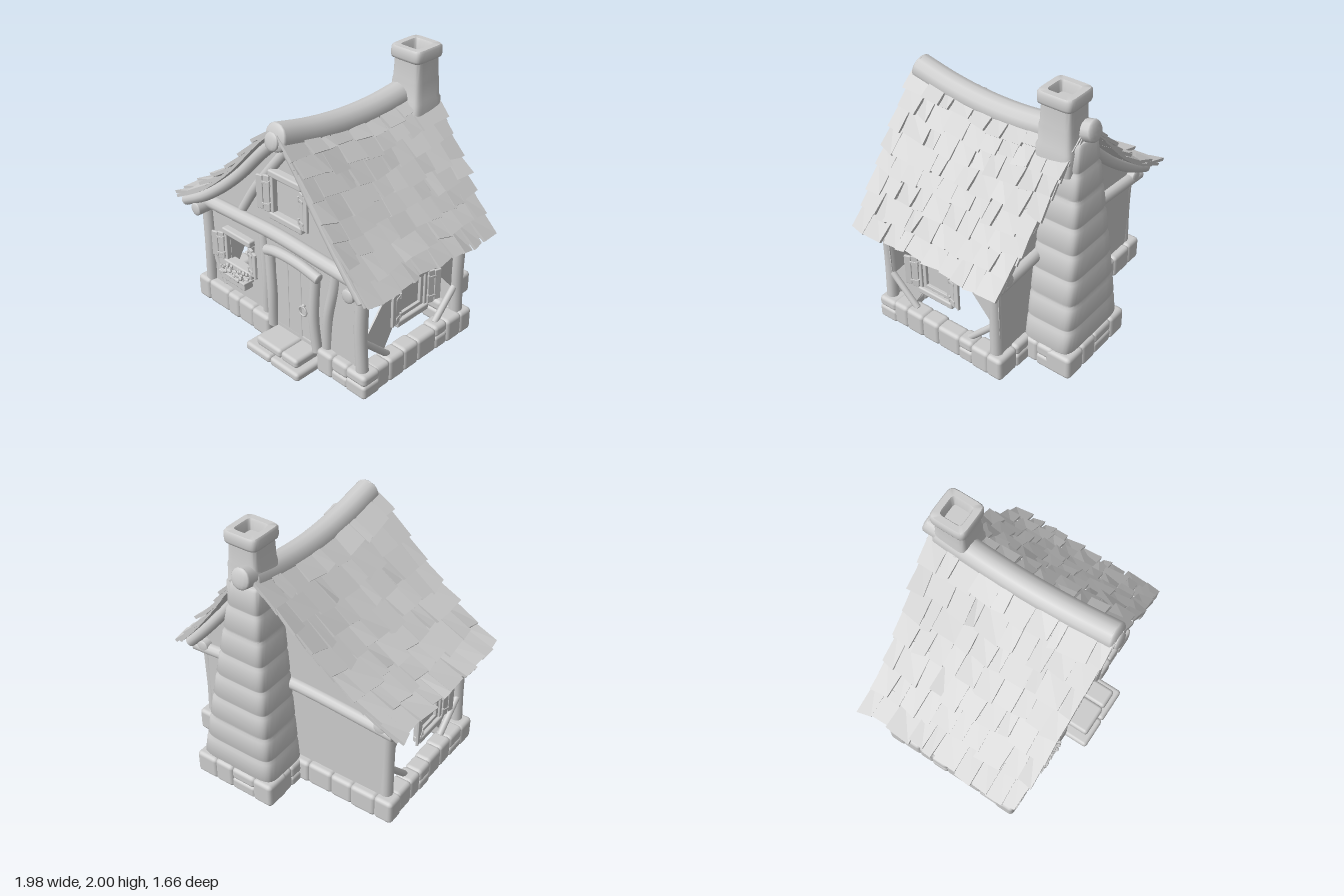
import * as THREE from 'three';
import { toCreasedNormals } from 'three/addons/utils/BufferGeometryUtils.js';
import { RoundedBoxGeometry } from 'three/addons/geometries/RoundedBoxGeometry.js';

const V2 = (p) => new THREE.Vector2(...p);
const V3 = (p) => new THREE.Vector3(...p);

export function createModel() {
  const root = new THREE.Group();
  root.name = 'cottage';
  const grey = new THREE.MeshStandardMaterial({ color: 0xcccccc });
  grey.name = 'plain grey';
  let seed = 7;
  const rnd = (a = 0, b = 1) => {
    seed = (seed * 16807) % 2147483647;
    return a + (b - a) * seed / 2147483647;
  };
  const add = (name, geo, parent = root, pos = [0, 0, 0]) => {
    const m = new THREE.Mesh(geo, grey);
    m.name = name;
    m.position.set(...pos);
    parent.add(m);
    return m;
  };
  const group = (name, parent = root) => {
    const g = new THREE.Group();
    g.name = name;
    parent.add(g);
    return g;
  };
  // block given by its minimum and maximum corners
  const block = (name, a, b, r = 0.01, parent = root) => {
    const s = a.map((v, i) => b[i] - v);
    return add(name, new RoundedBoxGeometry(...s, 2, Math.min(r, ...s.map((v) => v * 0.45))),
      parent, a.map((v, i) => (v + b[i]) / 2));
  };
  // round timber along a bent path with softly domed ends
  const log = (name, pts, r, parent = root) => {
    const g = group(name, parent);
    const c = new THREE.CatmullRomCurve3(pts.map(V3));
    add(name + 'Trunk', new THREE.TubeGeometry(c, 16, r, 12), g);
    for (const t of [0, 1]) {
      const p = c.getPoint(t);
      const end = add(name + 'End', new THREE.SphereGeometry(r, 12, 8), g, p.toArray());
      end.lookAt(p.clone().add(c.getTangent(t)));
      end.scale.z = 0.3;
    }
    return g;
  };
  // closed skin over rounded-square rings [y, halfX, halfZ, centreX, centreZ]
  const loft = (rings, n = 28) => {
    const pos = [], idx = [];
    const power = (v) => Math.sign(v) * Math.abs(v) ** 0.3;
    for (const [y, hx, hz, cx, cz] of rings)
      for (let i = 0; i < n; i++) {
        const a = (i + 0.5) / n * Math.PI * 2;
        pos.push(cx + hx * power(Math.cos(a)), y, cz - hz * power(Math.sin(a)));
      }
    for (let j = 0; j < rings.length - 1; j++)
      for (let i = 0; i < n; i++) {
        const a = j * n + i, b = j * n + (i + 1) % n;
        idx.push(a, b, b + n, a, b + n, a + n);
      }
    const last = (rings.length - 1) * n;
    for (let i = 1; i < n - 1; i++) idx.push(0, i + 1, i, last, last + i, last + i + 1);
    const g = new THREE.BufferGeometry();
    g.setAttribute('position', new THREE.Float32BufferAttribute(pos, 3));
    g.setIndex(idx);
    return toCreasedNormals(g, 0.9);
  };
  const plate = (pts, depth, holes = []) => {
    const s = new THREE.Shape(pts.map(V2));
    s.holes = holes.map((h) => new THREE.Path(h.map(V2)));
    return new THREE.ExtrudeGeometry(s, { depth, bevelEnabled: false });
  };

  // stone footing: rows of uneven rounded blocks
  const footing = group('footing');
  const stoneRow = (axis, from, to, count, lo, hi) => {
    const cuts = Array.from({ length: count + 1 }, (_, i) =>
      from + (to - from) * (i + (i % count ? rnd(-0.2, 0.2) : 0)) / count);
    for (let i = 0; i < count; i++) {
      const a = [0, 0, 0], b = [0, 0.192 - rnd(0, 0.012), 0];
      a[axis] = cuts[i] - (i ? 0.006 : 0);
      b[axis] = cuts[i + 1] + (i < count - 1 ? 0.006 : 0);
      a[2 - axis] = lo + rnd(0, 0.012); b[2 - axis] = hi - rnd(0, 0.012);
      const split = rnd() < 0.35 ? rnd(0.07, 0.11) : 0;
      if (split) {
        block('stone', a, [b[0], split, b[2]], 0.025, footing);
        a[1] = split - 0.006;
      }
      block('stone', a, b, 0.03, footing);
    }
  };
  stoneRow(0, -0.87, -0.08, 5, 0.48, 0.65);
  stoneRow(0, -0.08, 0.4, 2, 0.48, 0.6);
  stoneRow(0, 0.4, 0.85, 3, 0.48, 0.65);
  stoneRow(0, -0.87, 0.85, 10, -0.48, -0.33);
  stoneRow(2, -0.36, 0.52, 6, -0.87, -0.72);
  stoneRow(2, -0.36, 0.52, 6, 0.7, 0.85);
  stoneRow(0, -0.11, 0.56, 4, -0.83, -0.62);
  stoneRow(2, -0.68, -0.42, 2, -0.11, 0.2);
  stoneRow(2, -0.68, -0.42, 2, 0.2, 0.56);
  const underside = (w, d, x, z) =>
    add('underside', new THREE.PlaneGeometry(w, d).rotateX(Math.PI / 2), footing, [x, 0.004, z]);
  underside(1.68, 1.08, -0.01, 0.085);
  underside(0.63, 0.37, 0.225, -0.63);
  underside(0.48, 0.19, 0.145, 0.72);
  for (const [x0, x1] of [[-0.12, 0.13], [0.13, 0.41]])
    block('lowerStep', [x0, 0, 0.55], [x1, 0.065, 0.83], 0.025);
  for (const [x0, x1] of [[-0.05, 0.2], [0.2, 0.36]])
    block('upperStep', [x0, 0.06, 0.55], [x1, 0.13, 0.79], 0.025);

  // gable walls
  const gable = [[-0.76, 0.17], [0.78, 0.17], [0.8, 0.9], [0.56, 1.2], [0.41, 1.4], [0.22, 1.63],
    [0.11, 1.63], [-0.09, 1.46], [-0.27, 1.27], [-0.48, 1.08], [-0.76, 0.9]];
  add('frontWall', plate(gable, 0.03, [[[-0.53, 0.45], [-0.53, 0.67], [-0.29, 0.67], [-0.29, 0.45]]]), root, [0, 0, 0.55]);
  add('backWall', plate(gable, 0.03), root, [0, 0, -0.42]);

  // timber frame
  const frame = group('timberFrame');
  for (const s of [-1, 1]) {
    log('frontPost', [[s * 0.77, 0.17, 0.58], [s * 0.755, 0.5, 0.585], [s * 0.765, 0.86, 0.58]], 0.045, frame);
    log('backPost', [[s * 0.77, 0.17, -0.38], [s * 0.765, 0.5, -0.375], [s * 0.77, 0.84, -0.38]], 0.047, frame);
    log('eaveBeam', [[s * 0.75, 0.82, 0.7], [s * 0.75, 0.82, 0.1], [s * 0.75, 0.82, -0.47]], 0.05, frame);
    log('frontBrace', [[s * 0.77, 0.4, 0.57], [s * 0.77, 0.18, 0.34]], 0.024, frame);
    log('backBrace', [[s * 0.77, 0.39, -0.35], [s * 0.77, 0.18, -0.15]], 0.024, frame);
    // partial infill panels beside the side windows
    const infill = [[[-0.54, 0.4], [-0.36, 0.22], [-0.27, 0.37], [-0.27, 0.72], [-0.22, 0.8]],
      [[0.04, 0.72], [0.34, 0.38], [0.34, 0.82], [0.04, 0.82]]];
    for (const p of infill) add('sideInfill', plate(p, 0.012).rotateY(Math.PI / 2), frame, [s * 0.745, 0, 0]);
  }
  log('frontCrossBeam', [[-0.72, 0.86, 0.6], [-0.35, 0.885, 0.61], [0, 0.9, 0.61], [0.4, 0.885, 0.61], [0.8, 0.86, 0.6]], 0.05, frame);
  log('backCrossBeam', [[-0.84, 0.79, -0.44], [0, 0.83, -0.43], [0.84, 0.79, -0.44]], 0.045, frame);
  log('leftStud', [[-0.16, 0.18, 0.57], [-0.145, 0.45, 0.58], [-0.18, 0.88, 0.57]], 0.037, frame);
  log('rightStud', [[0.44, 0.18, 0.57], [0.46, 0.45, 0.58], [0.51, 0.7, 0.575], [0.53, 0.88, 0.57]], 0.04, frame);
  log('cornerBrace', [[-0.62, 0.19, 0.565], [-0.7, 0.36, 0.57], [-0.75, 0.6, 0.57]], 0.025, frame);
  log('cornerBrace', [[0.71, 0.19, 0.565], [0.74, 0.36, 0.57], [0.77, 0.6, 0.57]], 0.025, frame);
  log('gableBrace', [[-0.38, 0.92, 0.57], [-0.22, 1.16, 0.575], [-0.03, 1.4, 0.575], [0.12, 1.58, 0.57]], 0.037, frame);
  log('gableBrace', [[0.6, 0.92, 0.57], [0.52, 1.14, 0.575], [0.36, 1.4, 0.575], [0.21, 1.58, 0.57]], 0.037, frame);

  // door with frame and ring handle
  const door = group('door');
  for (let i = 0; i < 3; i++)
    block('doorPlank', [-0.04 + i * 0.125, 0.12, 0.57], [0.085 + i * 0.125, 0.75, 0.592], 0.005, door);
  log('doorPostLeft', [[-0.07, 0.13, 0.6], [-0.06, 0.4, 0.61], [-0.085, 0.74, 0.6]], 0.037, door);
  log('doorPostRight', [[0.37, 0.13, 0.6], [0.35, 0.4, 0.61], [0.36, 0.74, 0.6]], 0.037, door);
  log('doorLintel', [[-0.1, 0.735, 0.61], [0, 0.77, 0.62], [0.22, 0.775, 0.62], [0.4, 0.735, 0.61]], 0.038, door);
  add('doorRing', new THREE.TorusGeometry(0.035, 0.007, 8, 20), door, [0.24, 0.395, 0.608]);
  add('ringMount', new THREE.SphereGeometry(0.014, 10, 8), door, [0.24, 0.435, 0.6]);

  // shuttered window, built around its own centre and facing +z
  const makeWindow = (name, w, h, pos, turn = 0, glazed = false) => {
    const g = group(name);
    g.position.set(...pos);
    g.rotation.y = turn;
    const x = w / 2, y = h / 2;
    block('windowLintel', [-x - 0.025, y, -0.02], [x + 0.035, y + 0.05, 0.05], 0.012, g);
    block('windowSill', [-x - 0.03, -y - 0.05, -0.02], [x + 0.03, -y, 0.045], 0.012, g);
    for (const s of [-1, 1]) {
      const jamb = s * (x + 0.012);
      block('windowJamb', [jamb - 0.018, -y, -0.015], [jamb + 0.018, y, 0.035], 0.006, g);
      const sh = group('shutter', g);
      sh.position.set(s * (x + 0.018), 0, 0.035);
      sh.rotation.y = -s * 0.3;
      for (const k of [0, 1]) {
        const c = s * (0.026 + k * 0.052);
        block('shutterPlank', [c - 0.025, -y + k * 0.012, -0.01], [c + 0.025, y - k * 0.008, 0.01], 0.005, sh);
      }
      for (const k of [-1, 1]) {
        block('hinge', [Math.min(0, s * 0.06), k * y * 0.6 - 0.009, 0.008], [Math.max(0, s * 0.06), k * y * 0.6 + 0.009, 0.016], 0.002, sh);
        add('hingePin', new THREE.CylinderGeometry(0.009, 0.009, 0.04, 8), sh, [0, k * y * 0.6, 0.012]);
      }
      if (glazed) {
        block('sashSide', [s * x * 0.85 - 0.015, -y, -0.01], [s * x * 0.85 + 0.015, y, 0.02], 0.004, g);
        block('sashRail', [-x, s * y * 0.88 - 0.015, -0.01], [x, s * y * 0.88 + 0.015, 0.02], 0.004, g);
      }
    }
    if (glazed) block('windowPane', [-x, -y, -0.008], [x, y, -0.002], 0.001, g);
  };
  makeWindow('frontWindow', 0.24, 0.22, [-0.42, 0.56, 0.58]);
  makeWindow('gableWindow', 0.25, 0.27, [0.11, 1.2, 0.585]);
  for (const s of [-1, 1])
    makeWindow('sideWindow', 0.25, 0.26, [s * 0.765, 0.56, 0.13], s * Math.PI / 2, true);

  // flower box
  const flowers = group('flowerBox');
  block('planter', [-0.54, 0.33, 0.6], [-0.28, 0.39, 0.68], 0.008, flowers);
  block('planterRim', [-0.55, 0.38, 0.595], [-0.27, 0.4, 0.69], 0.005, flowers);
  for (const x of [-0.52, -0.34]) block('planterBracket', [x, 0.305, 0.58], [x + 0.03, 0.335, 0.66], 0.005, flowers);
  for (let i = 0; i < 60; i++)
    add('blossom', new THREE.IcosahedronGeometry(rnd(0.01, 0.018), 0), flowers, [rnd(-0.53, -0.29), rnd(0.4, 0.445), rnd(0.61, 0.69)]);

  // roof surface: flared slopes under a sagging ridge
  const sag = (z) => -0.1 * Math.max(0, 1 - (z / 0.72) ** 2);
  const slopes = {
    '-1': [[0.12, 1.75], [-0.04, 1.6], [-0.25, 1.375], [-0.45, 1.19], [-0.68, 1.015], [-0.94, 0.87]],
    '1': [[0.2, 1.75], [0.34, 1.59], [0.485, 1.385], [0.62, 1.205], [0.77, 1.015], [0.925, 0.835]],
  };
  for (const s of [-1, 1]) {
    const curve = new THREE.SplineCurve(slopes[s].map(V2));
    const at = (t, z, off) => {
      const p = curve.getPointAt(Math.min(t, 1)), d = curve.getTangentAt(Math.min(t, 1));
      const extra = Math.max(0, t - 1) * 1.2;
      return [p.x + d.x * extra - d.y * s * off, p.y + d.y * extra + d.x * s * off + sag(z) * Math.max(0, 1 - t), z];
    };
    const zAt = (t, v) => {
      const back = -0.64 + (s > 0 ? 0.13 : 0.1) * t, front = 0.75 - 0.03 * t;
      return back + (front - back) * v;
    };
    // six-sided slab on the slope; off holds the upper and lower edge heights
    const slab = (out, t0, t1, z0, z1, off, thick, wob = 0) => {
      if (s > 0) [z0, z1] = [z1, z0];
      const j = () => rnd(-wob, wob);
      const c = [[t0, z0, off[0]], [t1 + j(), z0 + j(), off[1] + j()], [t1 + j(), z1 + j(), off[1] + j()], [t0, z1, off[0]]];
      const k = [...c.map((q) => at(...q)), ...c.map(([t, z, o]) => at(t, z, o - thick))];
      for (const [a, b, d, e] of [[0, 1, 2, 3], [7, 6, 5, 4], [0, 4, 5, 1], [1, 5, 6, 2], [2, 6, 7, 3], [3, 7, 4, 0]])
        for (const i of [a, b, d, a, d, e]) out.push(...k[i]);
    };
    const skin = (name, out) => {
      const g = new THREE.BufferGeometry();
      g.setAttribute('position', new THREE.Float32BufferAttribute(out, 3));
      g.computeVertexNormals();
      add(name, g);
    };
    const deck = [], tiles = [];
    for (let i = 0; i < 10; i++)
      for (let k = 0; k < 8; k++)
        slab(deck, i / 10, (i + 1) / 10, zAt(i / 10, k / 8), zAt(i / 10, (k + 1) / 8), [0, 0], 0.02);
    const rows = s > 0 ? 8 : 7, cols = 10;
    for (let i = 0; i < rows; i++) {
      const t0 = i / rows, t1 = (i + 1) / rows;
      const cuts = Array.from({ length: cols + 1 }, (_, k) =>
        zAt(t0, (k + (k % cols ? rnd(-0.28, 0.28) : rnd(-0.06, 0.06))) / cols));
      for (let k = 0; k < cols; k++)
        slab(tiles, Math.max(0, t0 - 0.02), t1 + rnd(0, 0.03), cuts[k] + 0.002, cuts[k + 1] - 0.002, [0.006, rnd(0.022, 0.042)], 0.024, 0.014);
    }
    skin('roofDeck', deck);
    skin('roofShingles', tiles);
    for (const z of [0.68, -0.47])
      log('bargeBeam', [0.02, 0.2, 0.4, 0.6, 0.8, 0.97].map((t) => at(t, z, -0.055)), 0.042);
  }
  log('ridgeLog', [0.73, 0.45, 0.15, -0.15, -0.45, -0.6].map((z) => [0.17, 1.722 + sag(z), z]), 0.095);
  log('ridgeBeam', [[0.16, 1.7, 0.76], [0.16, 1.65, 0.5]], 0.062);
  log('ridgeBeamBack', [[0.165, 1.74, -0.685], [0.165, 1.7, -0.5]], 0.075);

  // chimney: tapering coursed breast, then a square stack with hollow cap
  const breast = [];
  const courses = 8;
  for (let i = 0; i < courses; i++)
    for (const [f, inset] of [[0.02, 0.01], [0.12, 0], [0.88, 0], [0.98, 0.01]]) {
      const t = (i + f) / courses, back = -0.8 + 0.14 * t ** 1.35 + inset;
      breast.push([0.17 + 1.5 * t, 0.315 - 0.2 * t - inset, (-0.4 - back) / 2, 0.225 - 0.05 * t, (-0.4 + back) / 2]);
    }
  add('chimneyBreast', loft(breast));
  add('chimneyStack', loft([[1.45, 0.135], [1.62, 0.135], [1.64, 0.125], [1.76, 0.122], [1.78, 0.117], [1.905, 0.112],
    [1.915, 0.128], [1.93, 0.132], [1.985, 0.132], [2, 0.122], [2, 0.08], [1.985, 0.072], [1.93, 0.06]]
    .map(([y, r]) => [y, r, r + 0.004, 0.22, -0.495])));
  return root;
}
